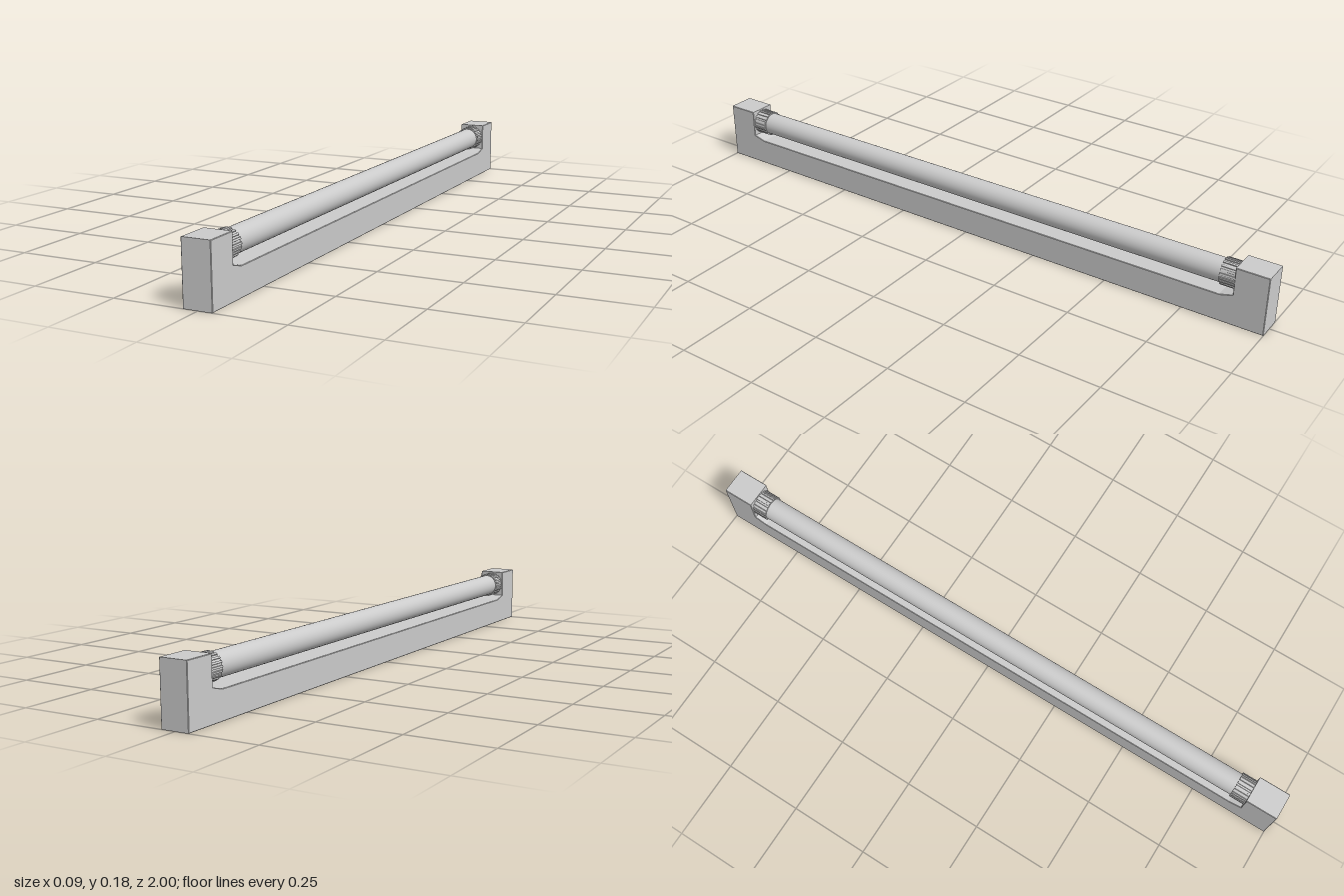
import * as THREE from 'three';

const HALF_WIDTH = 0.043;
const TUBE_Y = 0.138;
const BLOCK_Z = 0.9;

export function createModel() {
  const group = new THREE.Group();
  const material = new THREE.MeshStandardMaterial({ color: 0xcccccc });
  const add = (name, geometry) => {
    const mesh = new THREE.Mesh(geometry, material);
    mesh.name = name;
    group.add(mesh);
    return mesh;
  };

  // Housing: long side profile with raised end blocks and short ramps at their feet
  const half = [[1, 0], [1, 0.183], [BLOCK_Z, 0.183], [BLOCK_Z, 0.096], [0.86, 0.085]];
  const mirrored = half.map(([z, y]) => [-z, y]).reverse();
  const profile = new THREE.Shape([...half, ...mirrored].map(([z, y]) => new THREE.Vector2(z, y)));
  const bevel = 0.0015;
  const housing = new THREE.ExtrudeGeometry(profile, {
    depth: 2 * (HALF_WIDTH - bevel),
    bevelThickness: bevel,
    bevelSize: bevel,
    bevelOffset: -bevel,
    bevelSegments: 1,
  });
  housing.translate(0, 0, -(HALF_WIDTH - bevel)).rotateY(-Math.PI / 2);
  add('housing', housing);

  // Lamp tube
  const tube = new THREE.CylinderGeometry(0.036, 0.036, 2 * BLOCK_Z, 48);
  tube.rotateX(Math.PI / 2);
  add('lampTube', tube).position.y = TUBE_Y;

  // Ribbed sockets gripping the tube ends
  const teeth = 20;
  const rim = [];
  for (let i = 0; i < teeth; i++) {
    for (const [offset, radius] of [[0, 0.038], [0.45, 0.038], [0.5, 0.041], [0.95, 0.041]]) {
      const angle = ((i + offset) / teeth) * Math.PI * 2;
      rim.push(new THREE.Vector2(Math.cos(angle) * radius, Math.sin(angle) * radius));
    }
  }
  const socket = new THREE.ExtrudeGeometry(new THREE.Shape(rim), { depth: 0.05, bevelEnabled: false });
  for (const side of [1, -1]) {
    const mesh = add(side > 0 ? 'frontSocket' : 'backSocket', socket);
    mesh.position.set(0, TUBE_Y, side * (BLOCK_Z + 0.002));
    mesh.rotation.y = side > 0 ? Math.PI : 0;
  }

  return group;
}
